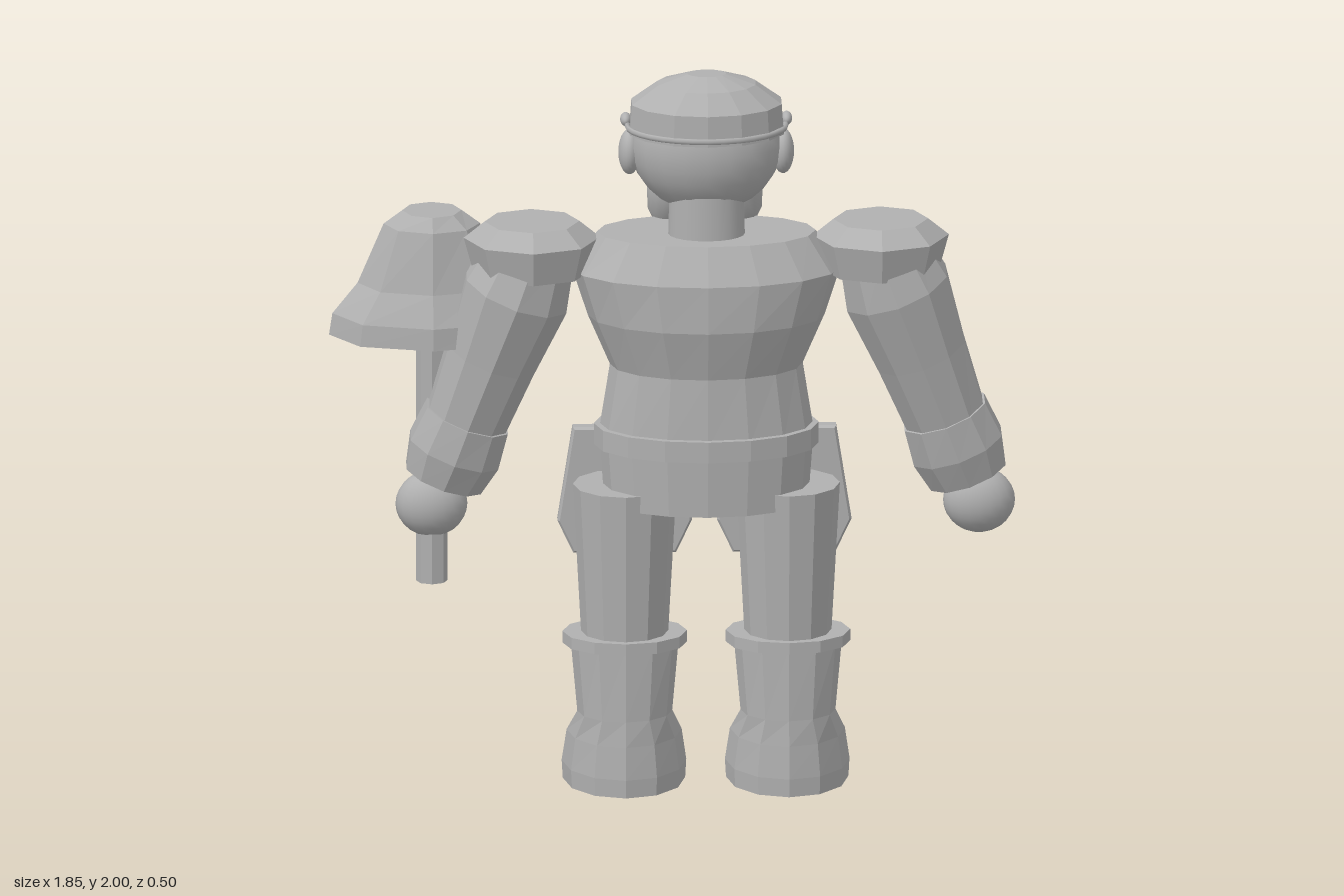
import * as THREE from 'three';

const CX = 0.085; // body centre line
const grey = new THREE.MeshStandardMaterial({ color: 0xb0b0b0 });
grey.name = 'stone grey';

// Faceted normals for the low-poly parts
function facet(geo) {
  const g = geo.index ? geo.toNonIndexed() : geo;
  g.computeVertexNormals();
  return g;
}

// Closed loft through elliptical rings [y, rx, rz, cz], listed bottom to top
function loft(rings, n) {
  const pos = [], idx = [];
  rings.forEach(([y, rx, rz, cz = 0]) => {
    for (let i = 0; i < n; i++) {
      const a = (i / n) * Math.PI * 2;
      pos.push(Math.sin(a) * rx, y, cz + Math.cos(a) * rz);
    }
  });
  for (let r = 0; r < rings.length - 1; r++) {
    for (let i = 0; i < n; i++) {
      const a = r * n + i, b = r * n + ((i + 1) % n);
      idx.push(a, b, b + n, a, b + n, a + n);
    }
  }
  const top = (rings.length - 1) * n;
  for (let i = 1; i < n - 1; i++) idx.push(0, i + 1, i, top, top + i, top + i + 1);
  const g = new THREE.BufferGeometry();
  g.setAttribute('position', new THREE.Float32BufferAttribute(pos, 3));
  g.setIndex(idx);
  return facet(g);
}

function add(parent, name, geo, x = 0, y = 0, z = 0) {
  const m = new THREE.Mesh(geo, grey);
  m.name = name;
  m.position.set(x, y, z);
  parent.add(m);
  return m;
}

function ellipsoid(rx, ry, rz) {
  return new THREE.SphereGeometry(1, 20, 14).scale(rx, ry, rz);
}

function buildTorso(root) {
  const g = new THREE.Group();
  g.name = 'torso';
  g.position.x = CX;
  add(g, 'chest', loft([
    [0.99, 0.29, 0.185, 0.035], [1.18, 0.26, 0.175, 0.037], [1.32, 0.32, 0.21, 0.043],
    [1.45, 0.362, 0.21, 0.043], [1.55, 0.295, 0.165, 0.035]], 16));
  add(g, 'belt', loft([[0.955, 0.303, 0.202, 0.036], [1.013, 0.303, 0.202, 0.036]], 16));
  add(g, 'hips', loft([[0.797, 0.275, 0.18, 0.038], [0.96, 0.287, 0.188, 0.036]], 16));
  add(g, 'buckle', new THREE.BoxGeometry(0.1, 0.064, 0.045), 0, 0.984, -0.173);
  add(g, 'buckleStrap', new THREE.BoxGeometry(0.07, 0.11, 0.03), 0, 0.9, -0.152);
  // Hanging plates over the thighs
  const s = new THREE.Shape([[-0.135, 0.945], [-0.175, 0.69], [-0.135, 0.605],
    [0.135, 0.605], [0.175, 0.69], [0.135, 0.945]].map(p => new THREE.Vector2(...p)));
  for (const side of [-1, 1]) {
    add(g, 'thighPlate', new THREE.ExtrudeGeometry(s, {
      depth: 0.03, bevelSize: 0.006, bevelThickness: 0.008, bevelSegments: 1,
    }), side * 0.215, 0, -0.175);
  }
  root.add(g);
}

function buildHead(root) {
  const g = new THREE.Group();
  g.name = 'head';
  g.position.x = CX;
  add(g, 'neck', new THREE.CylinderGeometry(0.1, 0.104, 0.16, 20).scale(1, 1, 0.8), 0, 1.6, 0.06);
  add(g, 'skull', ellipsoid(0.206, 0.187, 0.16), 0, 1.79, 0.02);
  add(g, 'cap', loft([
    [1.835, 0.213, 0.163, 0.058], [1.92, 0.207, 0.158, 0.062],
    [1.973, 0.135, 0.108, 0.066], [2.0, 0.053, 0.038, 0.068]], 14));
  const band = new THREE.TorusGeometry(1, 0.035, 6, 32).rotateX(Math.PI / 2);
  add(g, 'capBand', band.scale(0.214, 0.25, 0.166), 0, 1.85, 0.052);
  for (const side of [-1, 1]) {
    add(g, 'ear', ellipsoid(0.03, 0.062, 0.047), side * 0.207, 1.77, 0.025);
    add(g, 'bandKnob', ellipsoid(0.015, 0.018, 0.03), side * 0.217, 1.86, 0.02);
    const brow = add(g, 'eyebrow', new THREE.BoxGeometry(0.1, 0.022, 0.04), side * 0.08, 1.882, -0.118);
    brow.rotation.set(0.25, -side * 0.25, side * 0.15);
    const lid = add(g, 'eye', ellipsoid(0.045, 0.02, 0.02), side * 0.08, 1.83, -0.122);
    lid.rotation.y = -side * 0.25;
    // Moustache: each half swells toward its rounded lower end
    const lobe = new THREE.LatheGeometry([[0, -0.13], [0.035, -0.118], [0.06, -0.075], [0.071, -0.01],
      [0.062, 0.05], [0.038, 0.1], [0.015, 0.125], [0, 0.13]].map(p => new THREE.Vector2(...p)), 18);
    const m = add(g, 'moustache', lobe, side * 0.085, 1.637, -0.114);
    m.rotation.set(0.3, 0, side * 0.14);
  }
  const nose = add(g, 'nose', facet(new THREE.CylinderGeometry(0.014, 0.032, 0.065, 4)), 0, 1.768, -0.15);
  nose.rotation.x = 0.85;
  root.add(g);
}

function buildArm(root, side, label) {
  const g = new THREE.Group();
  g.name = label + 'Arm';
  add(g, 'shoulderPad', loft([[1.44, 0.158, 0.15], [1.535, 0.184, 0.172], [1.58, 0.128, 0.12]], 8),
    CX + side * 0.47, 0, 0.035);
  // Sleeve and cuff share one straight axis
  const limb = new THREE.Group();
  limb.name = 'sleeve';
  limb.position.set(CX + side * 0.485, 1.46, 0.04);
  limb.quaternion.setFromUnitVectors(new THREE.Vector3(0, -1, 0),
    new THREE.Vector3(side * 0.228, -0.63, -0.065).normalize());
  add(limb, 'upperArm', loft([
    [-0.5, 0.112, 0.115], [-0.28, 0.128, 0.135], [-0.08, 0.15, 0.158], [0.06, 0.12, 0.13]], 10));
  add(limb, 'cuff', loft([
    [-0.655, 0.112, 0.105], [-0.57, 0.132, 0.127], [-0.465, 0.121, 0.124]], 10));
  g.add(limb);
  add(g, 'hand', ellipsoid(0.097, 0.09, 0.074), CX + side * 0.738, 0.762, -0.07);
  add(g, 'thumb', ellipsoid(0.03, 0.045, 0.03), CX + side * 0.68, 0.785, -0.125);
  root.add(g);
}

function buildLeg(root, side, label) {
  const g = new THREE.Group();
  g.name = label + 'Leg';
  g.position.x = CX + side * 0.22;
  add(g, 'thigh', loft([[0.4, 0.116, 0.12, 0.033], [0.845, 0.14, 0.142, 0.042]], 12));
  add(g, 'bootCuff', loft([[0.4, 0.168, 0.138, 0.038], [0.432, 0.168, 0.138, 0.038]], 12));
  add(g, 'boot', loft([
    [0, 0.165, 0.21, -0.035], [0.05, 0.168, 0.214, -0.037], [0.14, 0.155, 0.193, -0.022],
    [0.21, 0.128, 0.123, 0.042], [0.41, 0.146, 0.125, 0.036]], 12));
  root.add(g);
}

function buildHammer(root) {
  const g = new THREE.Group();
  g.name = 'hammer';
  g.position.set(-0.652, 0, -0.075);
  add(g, 'shaft', facet(new THREE.CylinderGeometry(0.043, 0.043, 0.75, 8)), 0, 0.92, 0);
  add(g, 'hammerHead', loft([
    [1.235, 0.277, 0.174], [1.295, 0.268, 0.172], [1.38, 0.2, 0.137],
    [1.545, 0.13, 0.108], [1.582, 0.08, 0.08]], 8));
  root.add(g);
}

export function createModel() {
  const root = new THREE.Group();
  root.name = 'armouredFigure';
  buildTorso(root);
  buildHead(root);
  for (const [side, label] of [[-1, 'right'], [1, 'left']]) {
    buildArm(root, side, label);
    buildLeg(root, side, label);
  }
  buildHammer(root);
  return root;
}
